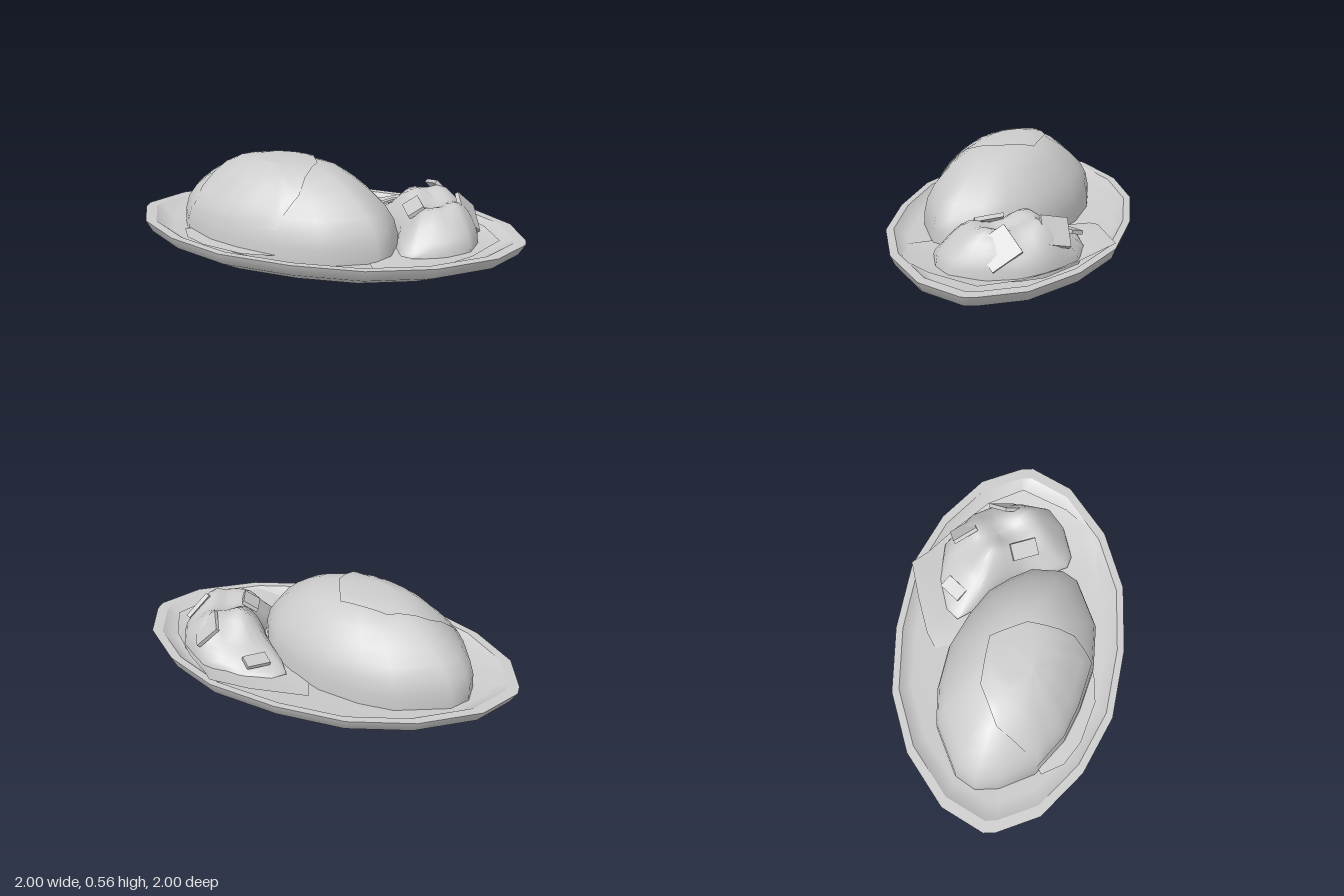
import * as THREE from 'three';
import { mergeGeometries } from 'three/addons/utils/BufferGeometryUtils.js';

const material = new THREE.MeshStandardMaterial({ color: 0xcccccc });
const sheetMaterial = new THREE.MeshStandardMaterial({ color: 0xcccccc, side: THREE.DoubleSide });
const { smoothstep } = THREE.MathUtils;

// Outlines are [x, z] points running back -> left -> front -> right
const halfPlate = [[-0.58, -1], [-0.18, -0.96], [0.19, -0.8], [0.52, -0.52],
  [0.81, -0.17], [0.96, 0.2], [1, 0.57], [0.905, 0.84], [0.86, 0.9]];
const plateOutline = [...halfPlate, ...halfPlate.map(([x, z]) => [-x, -z])];
const omeletteOutline = [[-0.47, -0.81], [-0.15, -0.71], [0.02, -0.57], [0.19, -0.35],
  [0.28, -0.12], [0.33, 0.09], [0.31, 0.26], [0.27, 0.41], [0.13, 0.56], [0.02, 0.59],
  [-0.29, 0.48], [-0.49, 0.29], [-0.64, 0.05], [-0.73, -0.15], [-0.77, -0.42],
  [-0.7, -0.65], [-0.61, -0.77]];
const moundOutline = [[0.43, -0.18], [0.62, -0.09], [0.79, 0.08], [0.84, 0.35], [0.8, 0.5],
  [0.68, 0.67], [0.54, 0.79], [0.38, 0.78], [0.2, 0.69], [0.16, 0.62], [0.2, 0.5],
  [0.31, 0.35], [0.33, 0.15], [0.31, -0.05], [0.33, -0.17]];
const leafOutline = [[0.27, -0.4], [0.38, -0.38], [0.6, -0.28], [0.81, -0.17], [0.81, -0.04],
  [0.84, 0.2], [0.85, 0.5], [0.78, 0.75], [0.48, 0.88], [0.27, 0.91], [0.2, 0.89],
  [-0.08, 0.77], [-0.03, 0.58], [0.15, 0.3], [0.15, -0.1]];
const sauceOutline = [[-0.47, -0.48], [-0.22, -0.4], [-0.12, -0.29], [-0.02, -0.17],
  [-0.1, 0.06], [-0.32, 0.25], [-0.48, 0.27], [-0.63, 0.04], [-0.72, -0.15], [-0.76, -0.4]];
const puddleOutline = [[-0.8, -0.4], [-0.6, -0.35], [-0.4, 0.1], [-0.46, 0.29], [-0.52, 0.27],
  [-0.66, 0.16], [-0.8, -0.08], [-0.84, -0.25]];

// Skin a stack of equal-length rings of [x, y, z] points
function loft(rings) {
  const n = rings[0].length, index = [];
  for (let i = 0; i < rings.length - 1; i++) {
    for (let j = 0; j < n; j++) {
      const a = i * n + j, b = i * n + (j + 1) % n;
      index.push(a, a + n, b, b, a + n, b + n);
    }
  }
  const g = new THREE.BufferGeometry();
  g.setAttribute('position', new THREE.Float32BufferAttribute(rings.flat(2), 3));
  g.setIndex(index);
  g.computeVertexNormals();
  return g;
}

// Shrink an outline towards a centre at each scale; height(scale, x, z) sets y
function cap(outline, [cx, cz], scales, height) {
  return loft(scales.map(s => outline.map(([px, pz]) => {
    const x = cx + (px - cx) * s, z = cz + (pz - cz) * s;
    return [x, height(s, x, z), z];
  })));
}

// Add evenly spaced points along every side of an outline
function subdivide(outline, count) {
  return outline.flatMap(([x, z], i) => {
    const [nx, nz] = outline[(i + 1) % outline.length];
    return Array.from({ length: count }, (_, k) =>
      [x + (nx - x) * k / count, z + (nz - z) * k / count]);
  });
}

function interpolate(points, s) {
  for (let i = 1; i < points.length; i++) {
    const [s0, y0] = points[i - 1], [s1, y1] = points[i];
    if (s >= s1) return y0 + (y1 - y0) * (s - s0) / (s1 - s0);
  }
  return points[points.length - 1][1];
}

// How far out a point lies, as a fraction of the outline's reach in that direction
function reach(outline, [cx, cz], x, z) {
  const dx = x - cx, dz = z - cz;
  for (let i = 0; i < outline.length; i++) {
    const a = outline[i], b = outline[(i + 1) % outline.length];
    const ax = a[0] - cx, az = a[1] - cz, ex = b[0] - a[0], ez = b[1] - a[1];
    const d = dx * ez - dz * ex;
    if (Math.abs(d) < 1e-9) continue;
    const t = (ax * ez - az * ex) / d, u = (ax * dz - az * dx) / d;
    if (t > 0 && u >= 0 && u <= 1) return 1 / t;
  }
  return 0;
}

export function createModel() {
  const model = new THREE.Group();
  const add = (name, geometry, mat = material) => {
    const mesh = new THREE.Mesh(geometry, mat);
    mesh.name = name;
    model.add(mesh);
    return mesh;
  };

  // Oval plate: separate bands keep the rim and foot edges crisp
  const bands = [
    [[0.001, 0], [0.83, 0]],
    [[0.83, 0], [0.965, 0.06], [1, 0.13]],
    [[1, 0.13], [0.94, 0.13]],
    [[0.94, 0.13], [0.84, 0.06], [0.001, 0.05]],
  ];
  add('plate', mergeGeometries(bands.map(band => loft(band.map(
    ([s, y]) => plateOutline.map(([x, z]) => [x * s, y, z * s]))))));

  // Large smooth omelette dome
  const centre = [-0.2, -0.1];
  const domeProfile = [[1, 0.06], [0.995, 0.15], [0.96, 0.235], [0.88, 0.315], [0.76, 0.39],
    [0.63, 0.455], [0.48, 0.51], [0.3, 0.54], [0.001, 0.55]];
  const domeHeight = s => interpolate(domeProfile, s);
  add('omelette', cap(omeletteOutline, centre, domeProfile.map(p => p[0]), domeHeight));

  // Sauce draped over the top and side, with a puddle beside it
  const sauceScales = [1, 0.97, 0.93, 0.88, 0.8, 0.65, 0.5, 0.3, 0.001];
  add('sauce', cap(subdivide(sauceOutline, 3), [-0.35, -0.1], sauceScales,
    (s, x, z) => domeHeight(reach(omeletteOutline, centre, x, z)) + 0.015), sheetMaterial);
  add('saucePuddle', cap(puddleOutline, [-0.62, -0.05], [1, 0.001], () => 0.1), sheetMaterial);

  // Lettuce leaf: sinks to the plate beside the omelette, its tip resting on the rim
  const leafHeight = (s, x, z) => {
    const tip = 1 - smoothstep(Math.hypot(x - 0.81, z + 0.17), 0, 0.25);
    return 0.06 + 0.06 * s * s * smoothstep(x + z * 0.3, 0.1, 0.4) + 0.045 * tip;
  };
  add('lettuceLeaf', cap(leafOutline, [0.5, 0.35], [1, 0.85, 0.5, 0.001], leafHeight), sheetMaterial);

  // Lumpy side salad: two humps, falling away to the back and to the right-hand toe
  const moundHeight = (s, x, z) => {
    const h = 0.05 + 0.19 * smoothstep(z, -0.2, 0.25) * smoothstep(x, 0.08, 0.42);
    const humps = 0.03 * Math.cos((z - 0.25) * 18) + 0.012 * Math.sin(x * 26 + z * 9);
    return 0.09 + h * Math.sqrt(Math.max(0, 1 - s ** 2.6)) + humps * (1 - s ** 4) * smoothstep(z, -0.1, 0.15);
  };
  add('saladMound', cap(subdivide(moundOutline, 2), [0.56, 0.36],
    [1, 0.98, 0.93, 0.85, 0.76, 0.66, 0.56, 0.46, 0.36, 0.26, 0.15, 0.001], moundHeight));

  // Thin vegetable pieces half sunk in the salad: position, size, tilt
  const pieces = [
    [[0.49, 0.165, -0.07], [0.15, 0.025, 0.09], [-0.3, 0.1, 0.1]],
    [[0.72, 0.29, 0.2], [0.18, 0.025, 0.17], [-0.25, -0.2, -0.85]],
    [[0.37, 0.3, 0.42], [0.11, 0.025, 0.17], [0.1, -0.35, 0.6]],
    [[0.68, 0.255, 0.55], [0.19, 0.025, 0.2], [0.6, -0.3, -0.65]],
  ];
  for (const [position, size, tilt] of pieces) {
    const piece = add('vegetablePiece', new THREE.BoxGeometry(...size));
    piece.position.set(...position);
    piece.rotation.set(...tilt);
  }
  return model;
}
